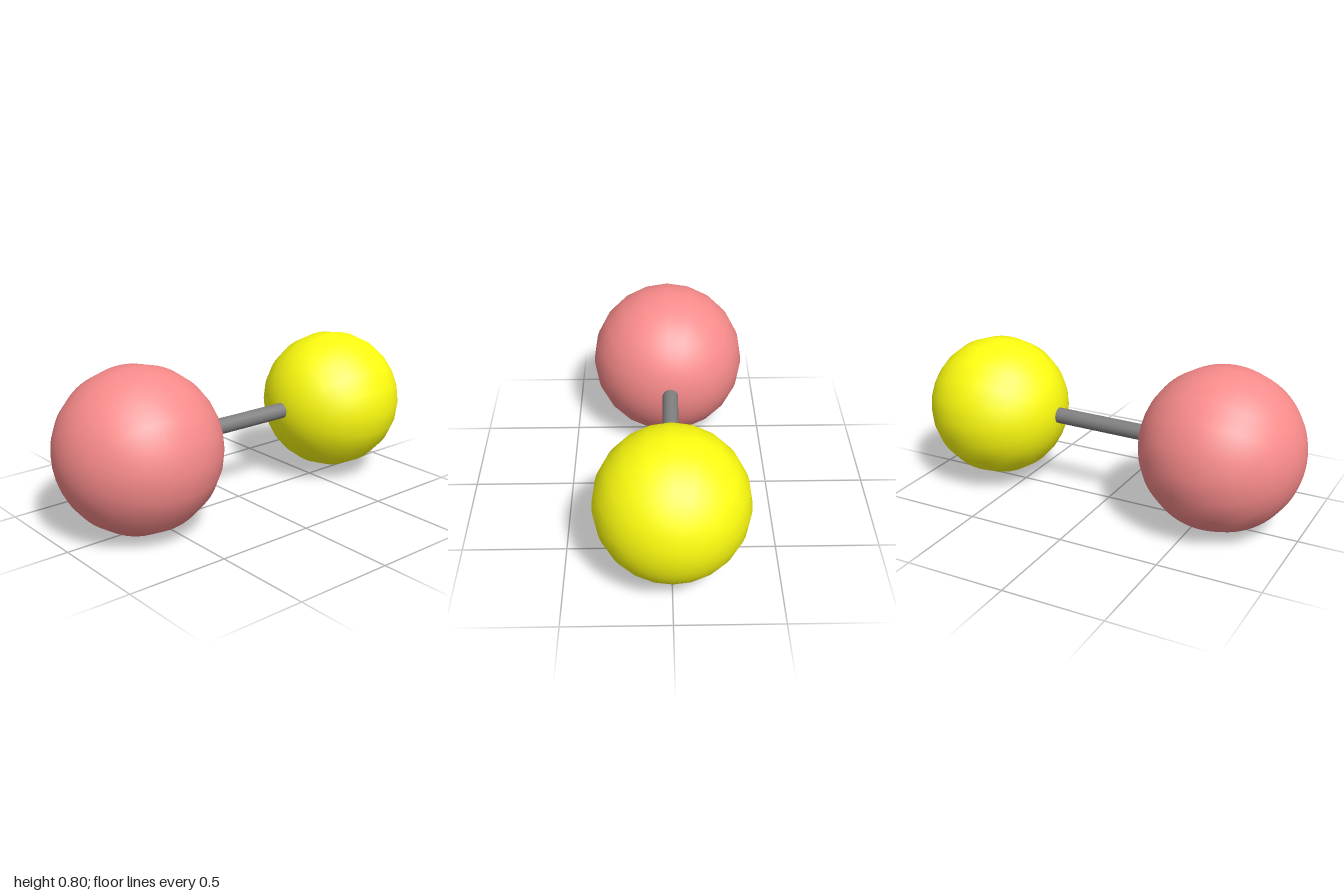
import * as THREE from 'three';

// Ball with its poles along x: 20 facets around the axis, fine along it
function ball(name, x, radius, color) {
  const geometry = new THREE.SphereGeometry(radius, 20, 40);
  geometry.rotateZ(-Math.PI / 2);
  const mesh = new THREE.Mesh(geometry, new THREE.MeshStandardMaterial({ color }));
  mesh.name = name;
  mesh.position.set(x, 0.4, 0);
  return mesh;
}

// Round rod between two points
function rod(name, from, to, radius, color) {
  const axis = to.clone().sub(from);
  const geometry = new THREE.CylinderGeometry(radius, radius, axis.length(), 20);
  const mesh = new THREE.Mesh(geometry, new THREE.MeshStandardMaterial({ color }));
  mesh.name = name;
  mesh.position.copy(from).add(to).multiplyScalar(0.5);
  mesh.quaternion.setFromUnitVectors(new THREE.Vector3(0, 1, 0), axis.normalize());
  return mesh;
}

export function createModel() {
  const model = new THREE.Group();
  model.name = 'twoBallsOnRod';

  model.add(ball('largeBall', -0.602, 0.398, 0xfb8c8c));
  model.add(ball('smallBall', 0.642, 0.358, 0xffff10));

  // Connecting rod, very slightly askew, its ends buried in the balls
  model.add(rod(
    'connectingRod',
    new THREE.Vector3(-0.4, 0.403, -0.011),
    new THREE.Vector3(0.45, 0.403, 0.002),
    0.04,
    0x808080
  ));

  return model;
}
